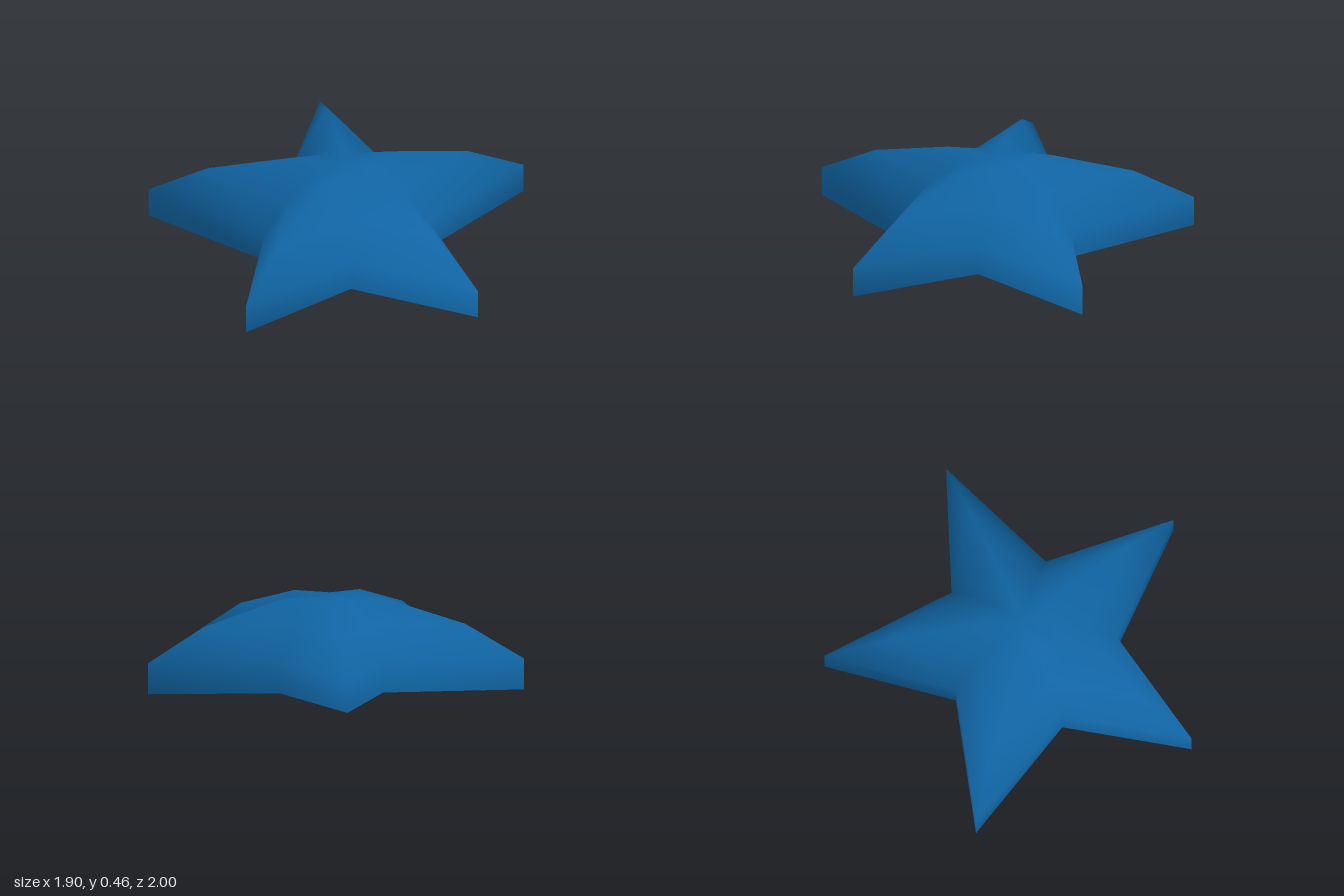
import * as THREE from 'three';

// Star outline in (x, z) around its own centre, alternating tips and notches
const CENTRE_X = -0.105;
const TIP_RADIUS = 1.05;
const NOTCHES = [[0.395, 0.31], [-0.115, 0.46], [-0.445, -0.02], [-0.105, -0.45], [0.385, -0.26]];

function starOutline() {
  const points = [];
  for (let i = 0; i < 5; i++) {
    const angle = (i * Math.PI * 2) / 5;
    points.push([TIP_RADIUS * Math.cos(angle), TIP_RADIUS * Math.sin(angle)], NOTCHES[i]);
  }
  return points;
}

// Domed star shell, open underneath: stacked outlines and a flat cap
function shellGeometry() {
  const outline = starOutline();
  const n = outline.length;
  const rings = [[0, 1], [0.165, 1], [0.34, 0.695], [0.46, 0.28]]; // height, scale
  const positions = [];
  const index = [];
  for (const [y, s] of rings) {
    for (const [x, z] of outline) positions.push(CENTRE_X + x * s, y, z * s);
  }
  for (let r = 0; r < rings.length - 1; r++) {
    for (let i = 0; i < n; i++) {
      const j = (i + 1) % n;
      const a = r * n + i, b = r * n + j, c = b + n, d = a + n;
      // Split each side along the same diagonal on both halves of an arm
      if (i % 2) index.push(a, d, c, a, c, b);
      else index.push(a, d, b, d, c, b);
    }
  }
  // Cap
  const top = (rings.length - 1) * n;
  const centre = positions.length / 3;
  positions.push(CENTRE_X, 0.46, 0);
  for (let i = 0; i < n; i++) index.push(centre, top + ((i + 1) % n), top + i);

  const geometry = new THREE.BufferGeometry();
  geometry.setAttribute('position', new THREE.Float32BufferAttribute(positions, 3));
  geometry.setIndex(index);
  geometry.computeVertexNormals();
  return geometry;
}

export function createModel() {
  const blue = new THREE.MeshStandardMaterial({ color: 0x1064a3, side: THREE.DoubleSide });
  blue.name = 'blue';
  const shell = new THREE.Mesh(shellGeometry(), blue);
  shell.name = 'starShell';
  const group = new THREE.Group();
  group.name = 'star';
  group.add(shell);
  return group;
}
